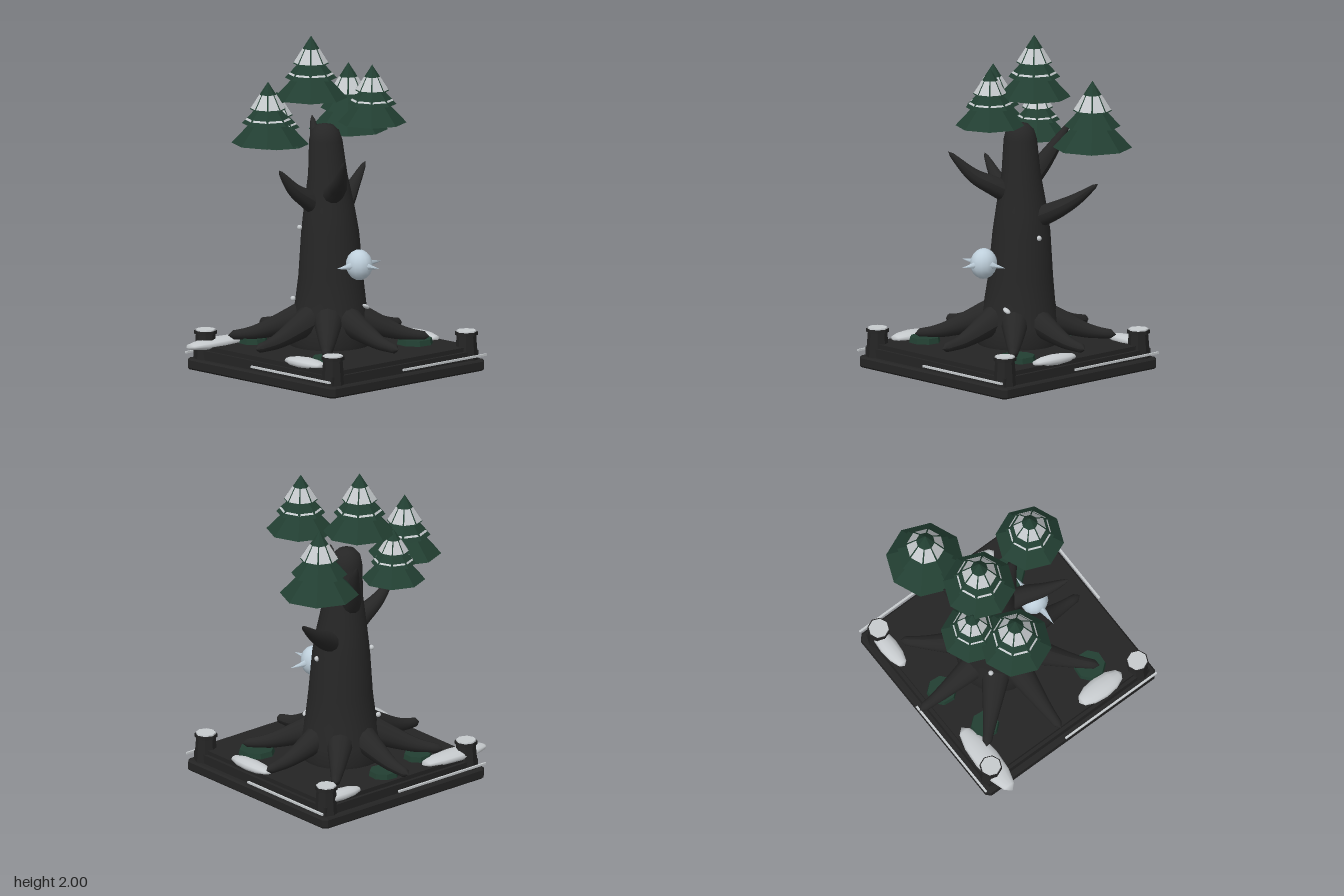
import * as THREE from 'three';

const mat = (name, color, extra = {}) => {
  const m = new THREE.MeshStandardMaterial({ color, ...extra });
  m.name = name;
  return m;
};

export function createModel() {
  const root = new THREE.Group();
  root.name = 'winterTree';
  const bark = mat('bark', 0x262626);
  const stone = mat('darkStone', 0x242424, { flatShading: true });
  const pine = mat('pineGreen', 0x223f32, { flatShading: true });
  const snow = mat('snow', 0xc6cacd);
  const snowPlate = mat('snowPlate', 0xc6cacd, { flatShading: true, side: THREE.DoubleSide });
  const ice = mat('ice', 0xbfd0dc);

  const add = (name, geo, material, x = 0, y = 0, z = 0, parent = root) => {
    const m = new THREE.Mesh(geo, material);
    m.name = name;
    m.position.set(x, y, z);
    parent.add(m);
    return m;
  };
  const V = (a) => new THREE.Vector3(...a);

  // Tapered tube: radii are spread evenly along the path
  const limb = (name, pts, radii) => {
    const n = 16, sides = 12;
    const curve = new THREE.CatmullRomCurve3(pts.map(V));
    const geo = new THREE.TubeGeometry(curve, n, 1, sides);
    const p = geo.attributes.position, v = new THREE.Vector3();
    for (let i = 0; i <= n; i++) {
      const c = curve.getPointAt(i / n);
      const t = (i / n) * (radii.length - 1), k = Math.min(Math.floor(t), radii.length - 2);
      let r = THREE.MathUtils.lerp(radii[k], radii[k + 1], t - k);
      if (i === n) r = 0;
      for (let j = 0; j <= sides; j++) {
        const q = i * (sides + 1) + j;
        v.fromBufferAttribute(p, q).sub(c).multiplyScalar(r).add(c);
        p.setXYZ(q, v.x, v.y, v.z);
      }
    }
    geo.computeVertexNormals();
    return add(name, geo, bark);
  };

  // Stepped square base with a bevelled lower slab
  const CX = 0.04;
  const slabShape = new THREE.Shape();
  const h = 0.61, c = 0.02;
  [[-h + c, -h], [h - c, -h], [h, -h + c], [h, h - c], [h - c, h], [-h + c, h], [-h, h - c], [-h, -h + c]]
    .forEach(([x, y], i) => (i ? slabShape.lineTo(x, y) : slabShape.moveTo(x, y)));
  const slab = new THREE.ExtrudeGeometry(slabShape, {
    depth: 0.045, bevelEnabled: true, bevelSize: 0.01, bevelThickness: 0.01, bevelSegments: 1,
  });
  slab.rotateX(-Math.PI / 2);
  add('baseSlab', slab, stone, CX, 0.065, 0);
  add('plinth', new THREE.BoxGeometry(1.17, 0.055, 1.17), stone, CX, 0.146, 0);
  add('ground', new THREE.BoxGeometry(1.13, 0.025, 1.13), stone, CX, 0.186, 0);

  // Corner posts with snow on top
  for (const sx of [-1, 1]) for (const sz of [-1, 1]) {
    const post = new THREE.Group();
    post.name = 'cornerPost';
    post.position.set(CX + sx * 0.535, 0, sz * 0.535);
    root.add(post);
    add('postShaft', new THREE.CylinderGeometry(0.056, 0.068, 0.15, 8), stone, 0, 0.195, 0, post);
    add('postCap', new THREE.CylinderGeometry(0.066, 0.066, 0.02, 8), stone, 0, 0.274, 0, post);
    add('postSnow', new THREE.CylinderGeometry(0.058, 0.06, 0.008, 8), snow, 0, 0.288, 0, post);
  }

  // Frost strips, one along each side, each shifted towards one corner
  for (let i = 0; i < 4; i++) {
    const g = new THREE.Group();
    g.name = 'frostStrip';
    g.position.x = CX;
    g.rotation.y = i * Math.PI / 2;
    root.add(g);
    add('strip', new THREE.BoxGeometry(0.665, 0.012, 0.012), snow, 0.275, 0.15, 0.624, g);
  }

  // Trunk: lathe whose centre drifts with height
  const profile = [[0, 0.005], [0.06, 0.015], [0.126, 0.055], [0.21, 0.12], [0.24, 0.22], [0.235, 0.32], [0.207, 0.44],
    [0.188, 0.6], [0.168, 0.86], [0.148, 1.0], [0.114, 1.2], [0.097, 1.4], [0.082, 1.455], [0.05, 1.488], [0, 1.5]];
  const trunk = new THREE.LatheGeometry(profile.map(([r, y]) => new THREE.Vector2(r, y)), 24);
  const tp = trunk.attributes.position;
  for (let i = 0; i < tp.count; i++) {
    const t = tp.getY(i) / 1.5;
    tp.setX(i, tp.getX(i) + 0.04 + 0.03 * Math.sin(Math.PI * t));
    tp.setZ(i, tp.getZ(i) - 0.06 - 0.035 * t);
  }
  add('trunk', trunk, bark);

  // Eight roots
  for (let i = 0; i < 8; i++) {
    const s = Math.sin(i * Math.PI / 4), k = Math.cos(i * Math.PI / 4);
    const at = (r, y) => [CX + s * r, y, -0.06 + k * r];
    limb('root', [at(0.1, 0.385), at(0.25, 0.325), at(0.43, 0.265), at(0.585, 0.245)],
      [0.09, 0.08, 0.064, 0.048, 0.034, 0.024]);
  }

  // Branches
  const taper = [0.065, 0.06, 0.052, 0.04, 0.026, 0.008];
  limb('branchLeft', [[0.12, 0.93, -0.1], [0.25, 0.99, -0.15], [0.38, 1.07, -0.21], [0.525, 1.185, -0.26]], taper);
  limb('branchRight', [[0.02, 0.99, -0.1], [-0.08, 1.06, -0.11], [-0.18, 1.13, -0.12], [-0.295, 1.26, -0.13]], taper);
  limb('branchFront', [[0.03, 1.07, -0.05], [-0.02, 1.14, 0.07], [-0.08, 1.2, 0.16], [-0.165, 1.35, 0.285]], taper);
  limb('branchBack', [[0.05, 1.12, -0.12], [0.09, 1.22, -0.2], [0.14, 1.34, -0.27], [0.19, 1.49, -0.36]], taper);

  // Snow plates lying on the eight faces of a cone with the given base radius, base height and height
  const coneSnow = (R, y0, H, r0, r1) => {
    const pos = [];
    for (let i = 0; i < 8; i++) {
      const a = i * Math.PI / 4, b = a + Math.PI / 4;
      const corner = (r, f) => {
        const x = THREE.MathUtils.lerp(Math.sin(a), Math.sin(b), f) * r;
        const z = THREE.MathUtils.lerp(Math.cos(a), Math.cos(b), f) * r;
        return [x, y0 + H * (1 - r / R) + 0.005, z];
      };
      const e0 = 0.09, e1 = 0.06;
      const A = corner(r1, e1), B = corner(r1, 1 - e1), C = corner(r0, 1 - e0), D = corner(r0, e0);
      pos.push(...A, ...B, ...C, ...A, ...C, ...D);
    }
    const g = new THREE.BufferGeometry();
    g.setAttribute('position', new THREE.Float32BufferAttribute(pos, 3));
    g.computeVertexNormals();
    return g;
  };

  // Foliage: three stacked cones [radius, base height, cone height] for a unit tree
  const tiers = [[1, 0, 0.62], [0.71, 0.32, 0.45], [0.49, 0.55, 0.45]];
  const trees = [[0.04, 1.635, -0.21, 0.212, 0.365], [-0.305, 1.415, -0.21, 0.212, 0.36], [0.12, 1.54, 0.22, 0.2, 0.34],
    [0.43, 1.38, -0.305, 0.23, 0.395], [-0.09, 1.355, -0.36, 0.185, 0.31]];
  trees.forEach(([x, y, z, r, ht], n) => {
    const g = new THREE.Group();
    g.name = 'foliage';
    g.position.set(x, y, z);
    root.add(g);
    for (const [R, y0, H] of tiers) {
      add('foliageTier', new THREE.ConeGeometry(R * r, H * ht, 8), pine, 0, (y0 + H / 2) * ht, 0, g);
    }
    const [, mid, top] = tiers;
    add('topSnow', coneSnow(top[0] * r, top[1] * ht, top[2] * ht, 0.24 * r, 0.485 * r), snowPlate, 0, 0, 0, g);
    if (n !== 3) add('snowLine', coneSnow(mid[0] * r, mid[1] * ht, mid[2] * ht, 0.59 * r, 0.635 * r), snowPlate, 0, 0, 0, g);
  });

  // Low bushes
  for (const [x, z, r] of [[-0.33, 0.315, 0.1], [0.41, 0.275, 0.115], [0.07, -0.46, 0.095], [-0.25, -0.39, 0.09]]) {
    add('bush', new THREE.CylinderGeometry(r * 0.88, r, 0.06, 8), pine, x, 0.2, z).rotation.y = 0.3;
  }

  // Snow mounds: spheres with poles along their long side
  const mound = (x, z, rx, rz) => {
    const g = new THREE.SphereGeometry(1, 12, 6);
    if (rx > rz) g.rotateZ(Math.PI / 2); else g.rotateX(Math.PI / 2);
    add('snowMound', g, snow, x, 0.207, z).scale.set(rx, 0.032, rz);
  };
  mound(-0.475, 0.28, 0.07, 0.155);
  mound(0.57, 0.135, 0.056, 0.17);
  mound(-0.425, -0.51, 0.245, 0.075);
  mound(0.475, -0.54, 0.155, 0.055);

  // Snow specks on the trunk
  for (const [x, y, z, s] of [[0.238, 0.845, -0.06, 0.016], [-0.06, 0.88, -0.2, 0.016], [-0.09, 0.46, -0.225, 0.016]]) {
    add('snowSpeck', new THREE.SphereGeometry(s, 8, 6), snow, x, y, z);
  }
  const fleck = add('snowFleck', new THREE.SphereGeometry(1, 8, 6), snow, 0.16, 0.43, 0.125);
  fleck.scale.set(0.028, 0.012, 0.02);
  fleck.rotation.z = -0.5;

  // Ice orb with spikes to the sides and front
  const orb = new THREE.Group();
  orb.name = 'iceOrb';
  orb.position.set(0.04, 0.703, 0.195);
  root.add(orb);
  add('orbBody', new THREE.SphereGeometry(1, 14, 10), ice, 0, 0, 0, orb).scale.set(0.075, 0.09, 0.082);
  for (const [dir, len] of [[[1, 0, 0], 0.18], [[-1, 0, 0], 0.18], [[0, 0, 1], 0.172]]) {
    const spike = new THREE.ConeGeometry(0.024, 0.13, 4);
    const m = add('orbSpike', spike, ice, ...dir.map((d) => d * (len - 0.065)), orb);
    m.quaternion.setFromUnitVectors(new THREE.Vector3(0, 1, 0), V(dir));
  }
  return root;
}
